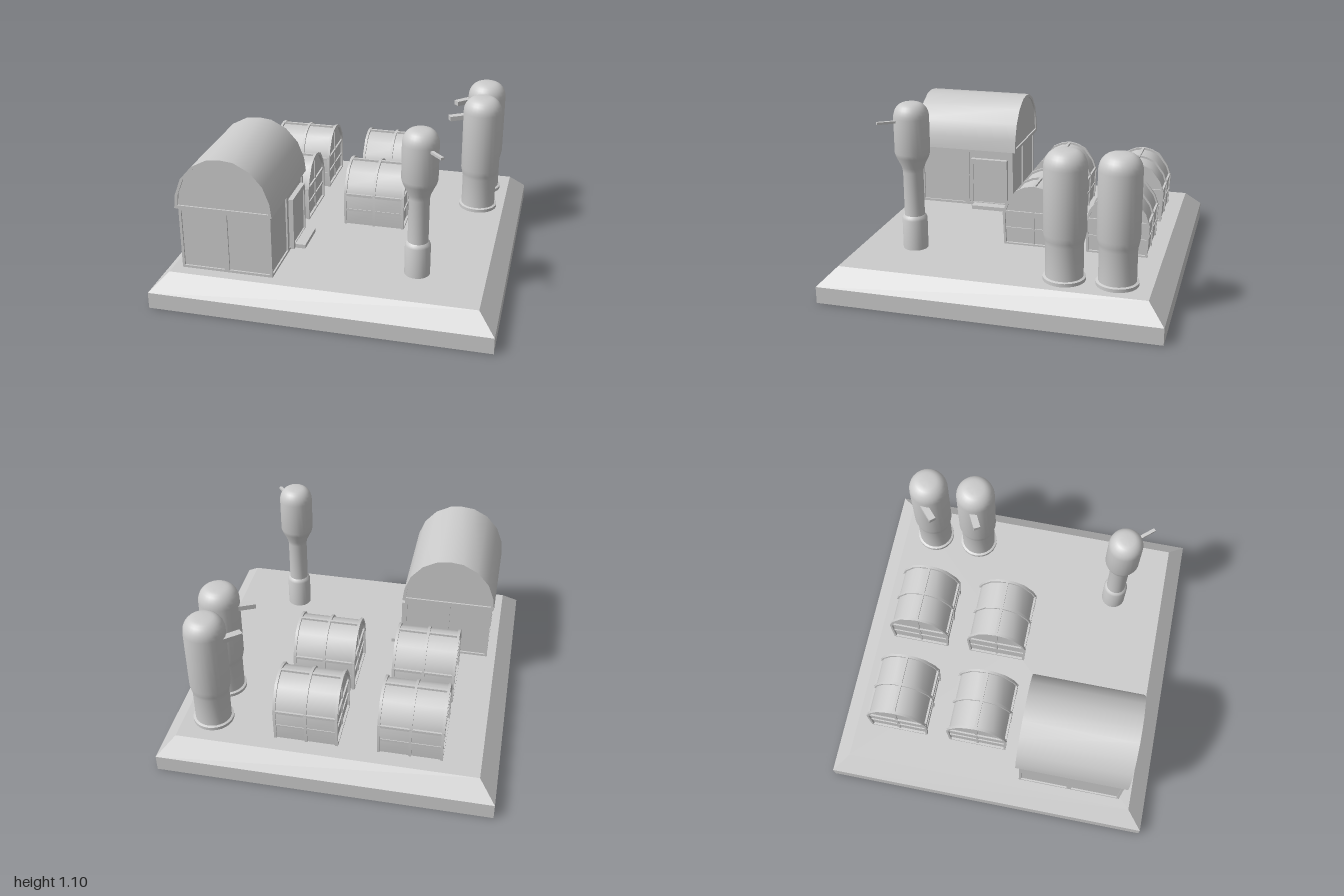
import * as THREE from 'three';
import { toCreasedNormals } from 'three/addons/utils/BufferGeometryUtils.js';

const mat = new THREE.MeshStandardMaterial({ color: 0xcccccc, side: THREE.DoubleSide });
const GROUND = 0.2;

function add(parent, name, geo, x = 0, y = 0, z = 0) {
  const m = new THREE.Mesh(geo, mat);
  m.name = name;
  m.position.set(x, y, z);
  parent.add(m);
  return m;
}
const box = (w, h, d) => new THREE.BoxGeometry(w, h, d);

// Closed outline from its right half (bottom to top, last point on the axis)
function mirrored(half) {
  const left = half.filter(([x]) => x > 0).reverse().map(([x, y]) => [-x, y]);
  return [...half, ...left].map(([x, y]) => new THREE.Vector2(x, y));
}

// Extrusion centred on its depth, with optional hole outlines
function extrude(outline, depth, holes = []) {
  const s = new THREE.Shape(outline);
  holes.forEach(h => s.holes.push(new THREE.Path(h)));
  const g = new THREE.ExtrudeGeometry(s, { depth, bevelEnabled: false });
  g.translate(0, 0, -depth / 2);
  return toCreasedNormals(g, 0.65);
}

const rect = (x0, y0, x1, y1) =>
  [[x0, y0], [x1, y0], [x1, y1], [x0, y1]].map(p => new THREE.Vector2(...p));

function lathe(profile) {
  return toCreasedNormals(new THREE.LatheGeometry(profile.map(p => new THREE.Vector2(...p)), 28), 0.6);
}

// Rounded cap: points from radius r at y0 up to the axis at y0 + h
function dome(r, y0, h, flat = 0.35) {
  const pts = [];
  for (let i = 0; i <= 7; i++) {
    const a = (i / 7) * Math.PI / 2;
    pts.push([r * (flat + (1 - flat) * Math.cos(a)), y0 + h * 0.95 * Math.sin(a)]);
  }
  return [...pts, [0, y0 + h]];
}

// Square bar between two points
function spout(parent, from, to, w) {
  const a = new THREE.Vector3(...from), b = new THREE.Vector3(...to);
  const m = add(parent, 'spout', box(w, w * 0.7, a.distanceTo(b)));
  m.position.copy(a).lerp(b, 0.5);
  m.lookAt(b);
}

// Square plinth with sloping rim
function makeBase() {
  const g = new THREE.Group();
  g.name = 'base';
  add(g, 'baseSlab', box(2, 0.1, 2), 0, 0.05, 0);
  const rim = new THREE.CylinderGeometry(0.9 * Math.SQRT2, Math.SQRT2, 0.1, 4, 1).toNonIndexed();
  rim.rotateY(Math.PI / 4);
  rim.computeVertexNormals();
  add(g, 'baseSlope', rim, 0, 0.15, 0);
  return g;
}

// Barn with panelled walls, arched roof, door and step
function makeBarn() {
  const g = new THREE.Group();
  g.name = 'barn';
  g.position.set(-0.57, GROUND, 0.51);
  add(g, 'walls', box(0.53, 0.39, 0.62), 0, 0.195, 0);

  const endFrame = extrude(rect(-0.275, 0, 0.275, 0.39), 0.01,
    [rect(-0.26, 0.015, -0.015, 0.37), rect(0.015, 0.015, 0.26, 0.37)]);
  const sideFrame = extrude(rect(-0.32, 0, 0.32, 0.39), 0.01,
    [rect(-0.305, 0.015, -0.015, 0.37), rect(0.015, 0.015, 0.305, 0.37)]);
  for (const s of [-1, 1]) {
    add(g, 'endFrame', endFrame, 0, 0, s * 0.315);
    add(g, 'sideFrame', sideFrame, s * 0.27, 0, 0).rotation.y = Math.PI / 2;
  }

  // Roof shell with recessed gable panels
  const arch = [[0.29, 0], [0.28, 0.085], [0.242, 0.185], [0.17, 0.268], [0.078, 0.316], [0, 0.325]];
  const inner = arch.map(([x, y]) => [x * 0.93, 0.02 + y * 0.88]);
  add(g, 'roofShell', extrude(mirrored(arch), 0.68, [mirrored(inner)]), 0, 0.39, 0);
  add(g, 'gablePanels', extrude(mirrored(arch.map(([x, y]) => [x * 0.96, 0.01 + y * 0.94])), 0.66), 0, 0.39, 0);

  // Door on the left side
  const frame = extrude(rect(-0.125, 0, 0.125, 0.33), 0.03, [rect(-0.11, 0.03, 0.11, 0.295)]);
  add(g, 'doorFrame', frame, 0.282, 0, -0.16).rotation.y = Math.PI / 2;
  add(g, 'door', box(0.02, 0.28, 0.23), 0.278, 0.16, -0.16);
  add(g, 'doorStep', box(0.085, 0.025, 0.225), 0.318, 0.0125, -0.17);
  return g;
}

// Arched greenhouse, ridge along x
function makeGreenhouse(x, z) {
  const g = new THREE.Group();
  g.name = 'greenhouse';
  g.position.set(x, GROUND, z);
  const outer = [[0.183, 0], [0.192, 0.2], [0.167, 0.27], [0.11, 0.345], [0.056, 0.371], [0, 0.382]];
  const glass = outer.map(([a, b]) => [a * 0.955, b * 0.965]);
  const opening = outer.map(([a, b]) => [a * 0.93, 0.01 + b * 0.925]);
  add(g, 'glassBody', extrude(mirrored(glass), 0.355)).rotation.y = Math.PI / 2;

  const rib = extrude(mirrored(outer), 0.016, [mirrored(opening)]);
  for (const rx of [-0.184, 0, 0.184]) add(g, 'archRib', rib, rx).rotation.y = Math.PI / 2;

  // Horizontal rails round the walls and along the ridge
  add(g, 'lowerRail', box(0.37, 0.014, 0.368), 0, 0.1, 0);
  add(g, 'upperRail', box(0.376, 0.016, 0.378), 0, 0.205, 0);
  add(g, 'ridgeRail', box(0.37, 0.016, 0.016), 0, 0.372, 0);
  for (const s of [-1, 1]) add(g, 'endPost', box(0.01, 0.36, 0.014), s * 0.179, 0.18, 0);
  return g;
}

// Round-topped storage silo
function makeSilo(x, z) {
  const g = new THREE.Group();
  g.name = 'silo';
  g.position.set(x, 0, z);
  add(g, 'siloBody', lathe([[0.122, GROUND], [0.122, 0.22], [0.108, 0.225], [0.108, 0.42],
    [0.114, 0.445], [0.121, 0.48], ...dome(0.122, 0.86, 0.1)]));
  spout(g, [-0.08, 0.845, 0.012], [-0.205, 0.79, 0.03], 0.043);
  return g;
}

// Slender water tower
function makeTower(x, z) {
  const g = new THREE.Group();
  g.name = 'waterTower';
  g.position.set(x, 0, z);
  add(g, 'towerBody', lathe([[0.075, GROUND], [0.075, 0.385], [0.07, 0.4], [0.06, 0.41], [0.06, 0.68],
    [0.066, 0.71], [0.097, 0.775], [0.104, 0.8], ...dome(0.104, 1.01, 0.09)]));
  spout(g, [0.05, 1.015, 0.055], [0.147, 0.972, 0.148], 0.02);
  return g;
}

export function createModel() {
  const model = new THREE.Group();
  model.name = 'farmYard';
  model.add(makeBase(), makeBarn(), makeTower(0.5, 0.575));
  for (const x of [-0.485, 0.13]) {
    for (const z of [-0.623, -0.113]) model.add(makeGreenhouse(x, z));
  }
  model.add(makeSilo(0.725, -0.7), makeSilo(0.732, -0.4));
  return model;
}
